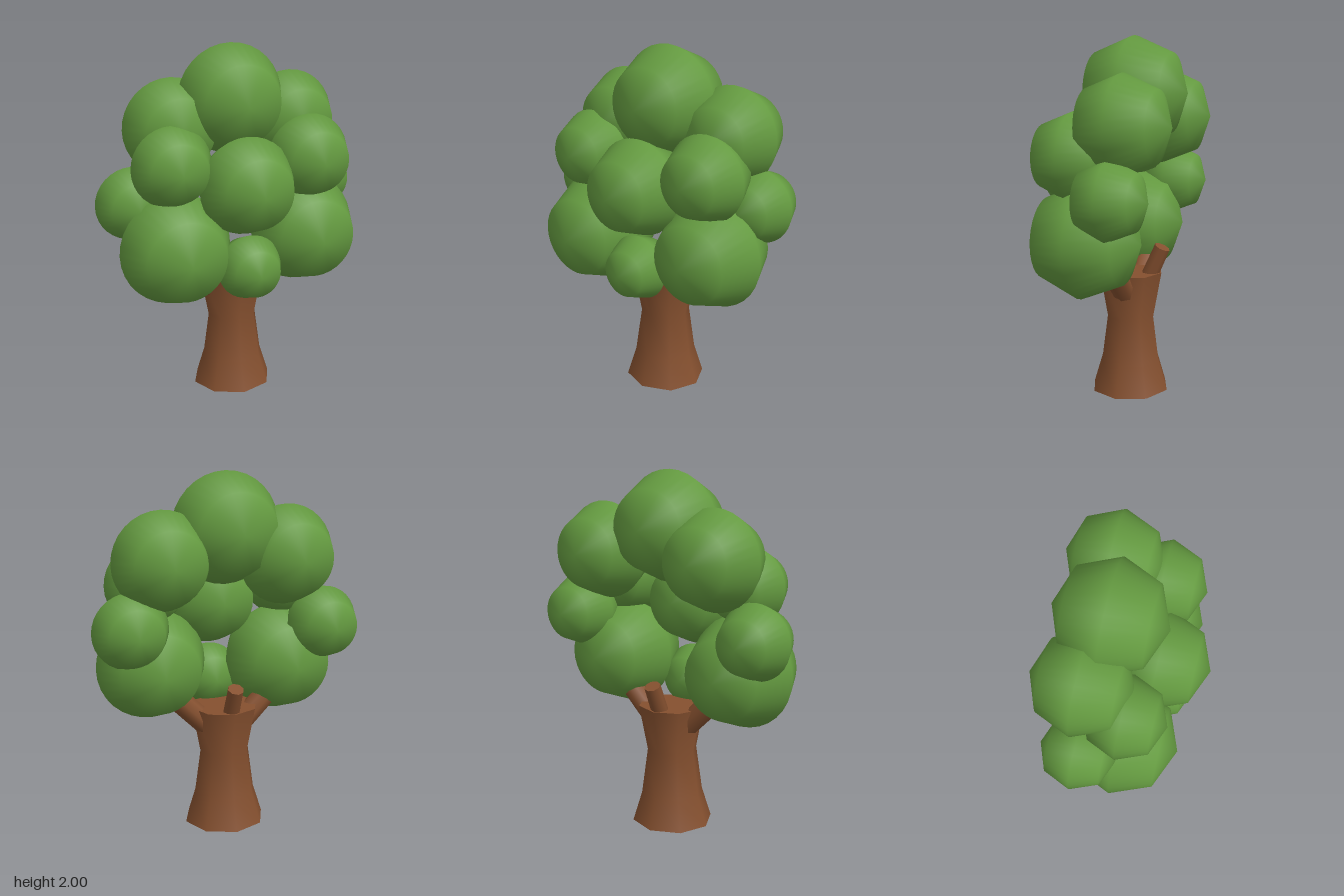
import * as THREE from 'three';

const leafGreen = new THREE.MeshStandardMaterial({ color: 0x649a40 });
const barkBrown = new THREE.MeshStandardMaterial({ color: 0x85502f });

// Leaf clumps: x, y, z, radius
const clumps = [
  [0, 1.695, -0.10, 0.305],
  [0.38, 1.55, -0.175, 0.27],
  [-0.325, 1.545, -0.165, 0.275],
  [0.393, 1.38, 0.09, 0.238],
  [-0.393, 1.382, 0.07, 0.225],
  [0, 1.266, 0.17, 0.272],
  [-0.373, 0.907, 0.048, 0.317],
  [0.393, 0.938, 0.023, 0.312],
  [0.012, 0.80, 0.18, 0.185],
  [-0.563, 1.138, -0.142, 0.209],
  [0.553, 1.19, -0.172, 0.21],
];

function createTrunk() {
  const trunk = new THREE.Group();
  trunk.name = 'trunk';
  const profile = [[0.2325, 0], [0.179, 0.17], [0.143, 0.43], [0.192, 0.69]];
  const bark = new THREE.Mesh(
    new THREE.LatheGeometry(profile.map(([r, y]) => new THREE.Vector2(r, y)), 8),
    barkBrown
  );
  bark.name = 'trunkBark';
  trunk.add(bark);

  // Flat ends closing the trunk
  for (const [name, r, y, turn] of [['trunkBase', 0.2325, 0, 1], ['trunkTop', 0.192, 0.69, -1]]) {
    const end = new THREE.Mesh(new THREE.CircleGeometry(r, 8), barkBrown);
    end.name = name;
    end.rotation.x = turn * Math.PI / 2;
    end.position.y = y;
    trunk.add(end);
  }
  trunk.scale.z = 0.957;
  trunk.position.z = -0.082;
  return trunk;
}

// Straight tapered limb between two points
function createBranch(name, from, to, rStart, rEnd) {
  const a = new THREE.Vector3(...from);
  const b = new THREE.Vector3(...to);
  const dir = b.clone().sub(a);
  const branch = new THREE.Mesh(
    new THREE.CylinderGeometry(rEnd, rStart, dir.length(), 8),
    barkBrown
  );
  branch.name = name;
  branch.position.copy(a).add(b).multiplyScalar(0.5);
  branch.quaternion.setFromUnitVectors(new THREE.Vector3(0, 1, 0), dir.normalize());
  return branch;
}

export function createModel() {
  const tree = new THREE.Group();
  tree.name = 'tree';
  tree.add(createTrunk());

  tree.add(createBranch('leftBranch', [0.06, 0.54, -0.09], [0.31, 0.79, -0.08], 0.065, 0.065));
  tree.add(createBranch('rightBranch', [-0.06, 0.54, -0.09], [-0.31, 0.79, -0.08], 0.065, 0.065));
  tree.add(createBranch('backBranch', [0, 0.5, -0.12], [0, 0.84, -0.27], 0.05, 0.045));

  // Foliage: spheres with few rings, poles facing front and back
  const foliage = new THREE.Group();
  foliage.name = 'foliage';
  const sphere = new THREE.SphereGeometry(1, 32, 4).rotateX(Math.PI / 2);
  for (const [x, y, z, r] of clumps) {
    const clump = new THREE.Mesh(sphere, leafGreen);
    clump.name = 'leafClump';
    clump.position.set(x, y, z);
    clump.scale.setScalar(r);
    foliage.add(clump);
  }
  tree.add(foliage);
  return tree;
}
